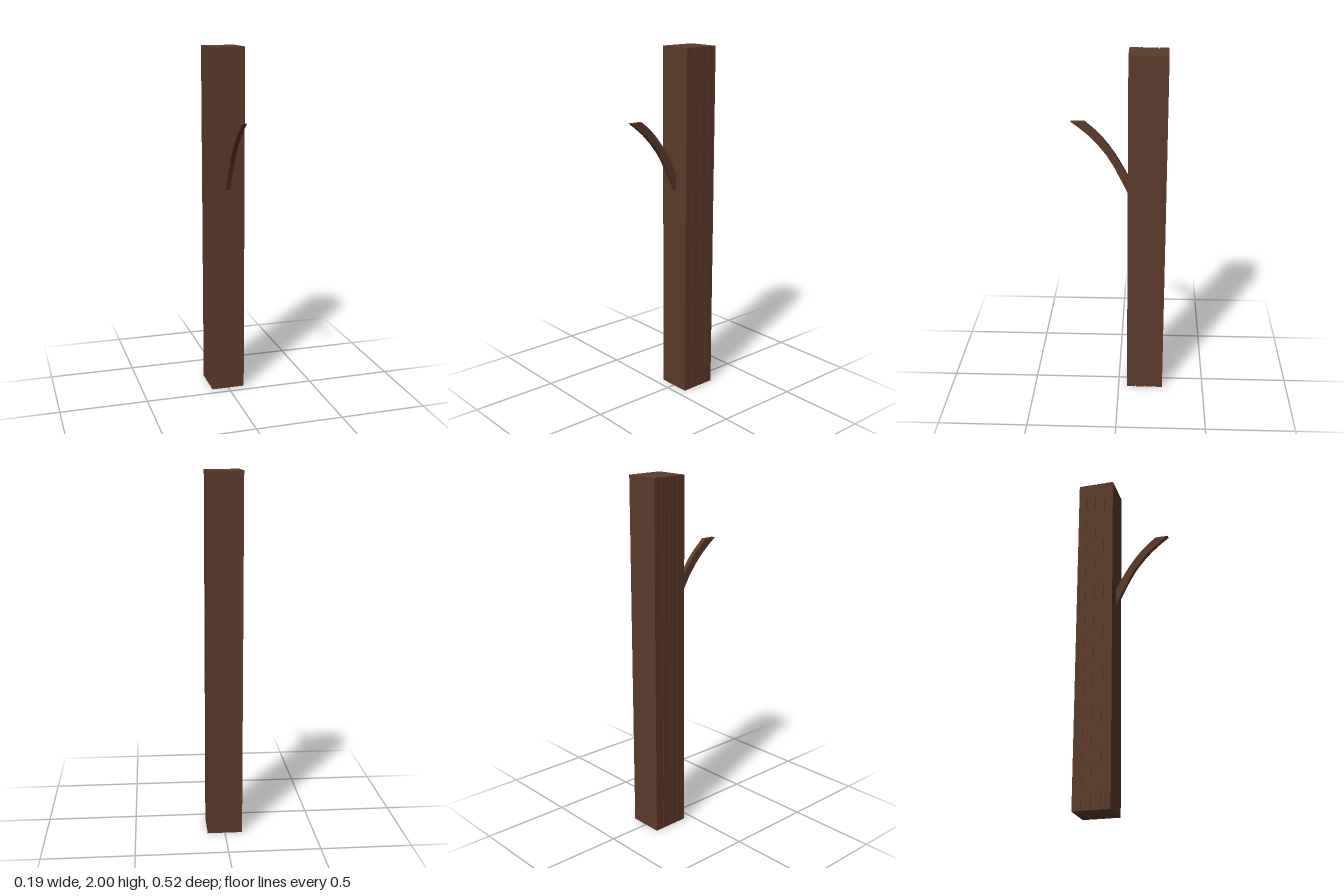
import * as THREE from 'three';

export function createModel() {
  const model = new THREE.Group();
  const wood = new THREE.MeshStandardMaterial({ color: 0x5c3a2a, flatShading: true });

  const add = (name, geometry, x, y, z) => {
    const mesh = new THREE.Mesh(geometry, wood);
    mesh.name = name;
    mesh.position.set(x, y, z);
    model.add(mesh);
  };

  // Four upright planks, stacked front to back
  const front = -0.05, back = -0.26, gap = 0.004, count = 4;
  const depth = (front - back - gap * (count - 1)) / count;
  for (let i = 0; i < count; i++) {
    const z = front - depth / 2 - i * (depth + gap);
    add('plank' + (i + 1), new THREE.BoxGeometry(0.194, 2, depth), 0, 1, z);
    // Slightly inset strip filling the groove behind each plank
    if (i < count - 1) {
      add('groove' + (i + 1), new THREE.BoxGeometry(0.188, 1.992, gap), 0, 1, z - (depth + gap) / 2);
    }
  }

  // Curved peg: side profile in (z, y), extruded across x
  const lower = new THREE.SplineCurve([[-0.05, 1.206], [0, 1.31], [0.07, 1.434], [0.167, 1.545], [0.262, 1.62]]
    .map(p => new THREE.Vector2(...p)));
  const upper = new THREE.SplineCurve([[0.188, 1.62], [0.1, 1.54], [0.02, 1.434], [-0.05, 1.31]]
    .map(p => new THREE.Vector2(...p)));
  const profile = new THREE.Shape([...lower.getPoints(8), ...upper.getPoints(8)]);
  const width = 0.026;
  const peg = new THREE.ExtrudeGeometry(profile, { depth: width, bevelEnabled: false });
  peg.translate(0, 0, -width / 2).rotateY(-Math.PI / 2);
  add('curvedPeg', peg, 0, 0, 0);

  return model;
}
